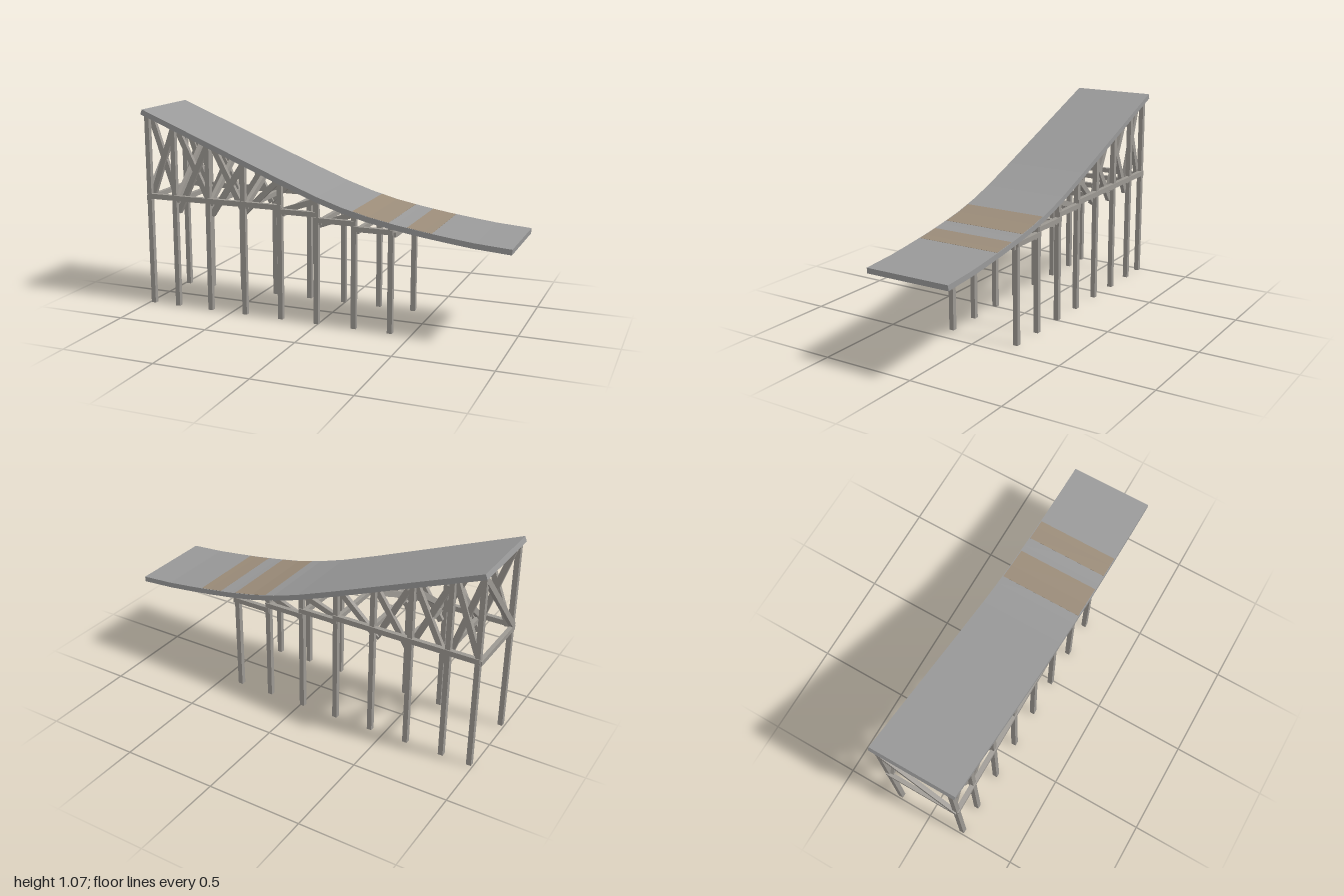
import * as THREE from 'three';

const deckGrey = new THREE.MeshStandardMaterial({ color: 0x999999 });
const timber = new THREE.MeshStandardMaterial({ color: 0x9c9892 });
const tan = new THREE.MeshStandardMaterial({ color: 0x9b8c79 });

// Top line of the running surface, steep at -x and flattening toward +x
const profile = [
  [-0.99, 1.068], [-0.21, 0.758], [0, 0.678], [0.14, 0.633], [0.28, 0.597],
  [0.42, 0.571], [0.56, 0.549], [0.7, 0.531], [0.82, 0.517], [1, 0.504],
];
const THICK = 0.028;
const HALF_WIDTH = 0.228;

function topAt(x) {
  for (let i = 1; i < profile.length; i++) {
    const [x0, y0] = profile[i - 1];
    const [x1, y1] = profile[i];
    if (x <= x1) return y0 + (y1 - y0) * (x - x0) / (x1 - x0);
  }
  return profile[profile.length - 1][1];
}

// Slab that follows a line, extruded across the full width
function slab(name, line, thick, halfWidth, material) {
  const lower = line.map(([x, y], i) => {
    const a = line[Math.max(0, i - 1)];
    const b = line[Math.min(line.length - 1, i + 1)];
    const dx = b[0] - a[0], dy = b[1] - a[1], len = Math.hypot(dx, dy);
    return [x + dy / len * thick, y - dx / len * thick];
  });
  const outline = [...line, ...lower.reverse()].map(([x, y]) => new THREE.Vector2(x, y));
  const geometry = new THREE.ExtrudeGeometry(new THREE.Shape(outline), {
    depth: halfWidth * 2, bevelEnabled: false,
  });
  geometry.translate(0, 0, -halfWidth);
  const mesh = new THREE.Mesh(geometry, material);
  mesh.name = name;
  return mesh;
}

// Rectangular timber running between two points
function beam(name, from, to, width, depth = width) {
  const a = new THREE.Vector3(...from);
  const b = new THREE.Vector3(...to);
  const dir = b.clone().sub(a);
  const mesh = new THREE.Mesh(new THREE.BoxGeometry(width, dir.length(), depth), timber);
  mesh.name = name;
  mesh.position.copy(a).add(b).multiplyScalar(0.5);
  mesh.quaternion.setFromUnitVectors(new THREE.Vector3(0, 1, 0), dir.normalize());
  return mesh;
}

export function createModel() {
  const model = new THREE.Group();
  model.name = 'rampOnTrestle';

  // Deck and its two coloured bands
  model.add(slab('deck', profile, THICK, HALF_WIDTH, deckGrey));
  for (const [x0, x1] of [[0.195, 0.385], [0.48, 0.605]]) {
    const xs = [x0, ...profile.map((p) => p[0]).filter((x) => x > x0 && x < x1), x1];
    const line = xs.map((x) => [x, topAt(x) + 0.0008]);
    model.add(slab('deckBand', line, 0.003, HALF_WIDTH - 0.004, tan));
  }

  const posts = [-0.978, -0.825, -0.625, -0.42, -0.212, -0.01, 0.195, 0.39];
  const railY = [0.6, 0.6, 0.6, 0.6, 0.58, 0.552, 0.525];
  const under = (x) => topAt(x) - THICK;

  // Side braces: [x0, y0, x1, y1]
  const braces = [
    [-0.97, 0.6, -0.835, 0.97], [-0.97, 1.02, -0.83, 0.6],
    [-0.815, 0.52, -0.635, 0.89], [-0.815, 0.96, -0.635, 0.59],
    [-0.615, 0.52, -0.425, 0.81], [-0.61, 0.89, -0.425, 0.535],
    [-0.435, 0.54, -0.222, 0.74],
    [-0.212, 0.575, -0.015, 0.645],
    [0, 0.522, 0.195, 0.597],
  ];

  for (const side of [1, -1]) {
    const z = side * 0.194;
    posts.forEach((x) => model.add(beam('post', [x, 0, z], [x, under(x) - 0.002, z], 0.026)));

    // Long upper rail, then short rails stepping down under the deck
    const railZ = side * 0.2;
    model.add(beam('longRail', [-0.988, 0.6, railZ], [-0.2, 0.6, railZ], 0.028, 0.024));
    for (let i = 4; i < railY.length; i++) {
      model.add(beam('stepRail', [posts[i] - 0.01, railY[i], railZ],
        [posts[i + 1] + 0.01, railY[i], railZ], 0.026, 0.024));
    }

    braces.forEach(([x0, y0, x1, y1], i) => {
      const bz = side * (0.174 - 0.01 * (i % 2));
      model.add(beam('sideBrace', [x0, y0, bz], [x1, y1, bz], 0.03, 0.022));
    });
  }

  // Cross beams tie each pair of posts; tall pairs also get a diagonal
  posts.forEach((x, i) => {
    const face = x + (i === 0 ? -0.009 : 0.016);
    const y = railY[Math.min(i, railY.length - 1)] - 0.012;
    model.add(beam('crossBeam', [face, y, -0.2], [face, y, 0.2], 0.022, 0.026));
    if (i < 4) {
      model.add(beam('crossBrace', [face, under(x) - 0.02, -0.19], [face, 0.6, 0.19], 0.022, 0.03));
    }
  });

  return model;
}
